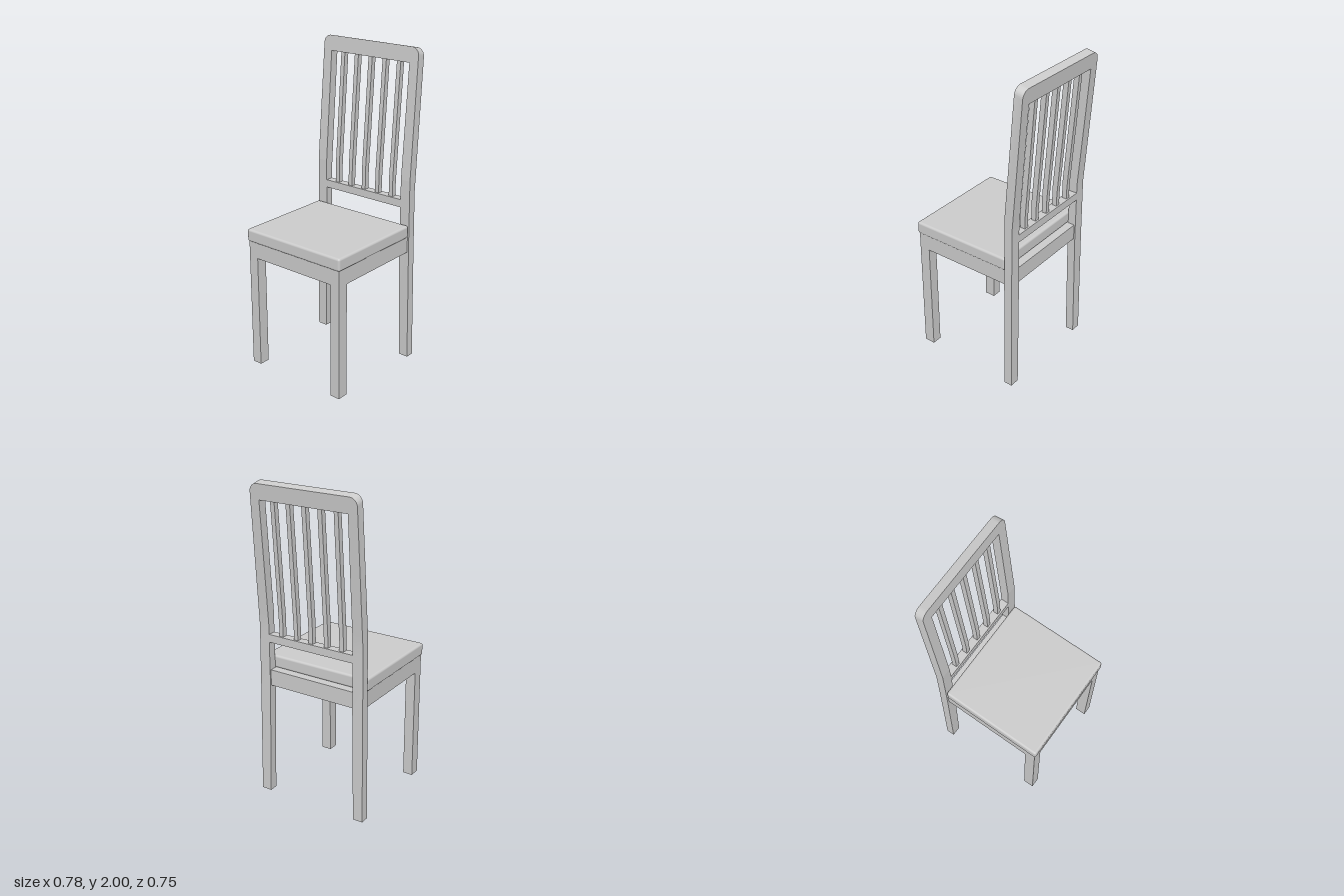
import * as THREE from 'three';
import { RoundedBoxGeometry } from 'three/addons/geometries/RoundedBoxGeometry.js';
import { toCreasedNormals } from 'three/addons/utils/BufferGeometryUtils.js';

const material = new THREE.MeshStandardMaterial({ color: 0xcccccc });

// Side profile of the back frame: [y, x] for its seat-facing and rear faces
const FRONT = [[0, 0.285], [0.75, 0.277], [1.2, 0.276], [2, 0.335]];
const REAR = [[0, 0.34], [0.75, 0.331], [1.13, 0.329], [2, 0.39]];
// Half widths of the back frame, outside and inside: [y, z]
const OUTER = [[0, 0.375], [1.05, 0.363], [2, 0.356]];
const INNER = [[0, 0.31], [0.75, 0.295], [2, 0.295]];

function along(line, y) {
  let i = 0;
  while (i < line.length - 2 && y > line[i + 1][0]) i++;
  const [[y0, v0], [y1, v1]] = [line[i], line[i + 1]];
  return v0 + (v1 - v0) * (y - y0) / (y1 - y0);
}

// Moves vertices whose x is a depth (0 seat side, 1 rear) onto the bent profile
function bend(geometry) {
  const p = geometry.attributes.position;
  for (let i = 0; i < p.count; i++) {
    const d = p.getX(i), y = p.getY(i);
    p.setX(i, THREE.MathUtils.lerp(along(FRONT, y), along(REAR, y), d));
    p.setY(i, y - 0.012 * d * Math.max(0, (y - 1.2) / 0.8));
  }
  return toCreasedNormals(geometry, 0.5);
}

// Upright bar through the given heights; zRange(y) returns [low z, high z]
function bar(heights, zRange, d0 = 0, d1 = 1) {
  const n = heights.length - 1;
  const g = new THREE.BoxGeometry(1, 1, 1, 1, n, 1);
  const p = g.attributes.position;
  for (let i = 0; i < p.count; i++) {
    const y = heights[Math.round((p.getY(i) + 0.5) * n)];
    const [a, b] = zRange(y);
    p.setXYZ(i, p.getX(i) < 0 ? d0 : d1, y, p.getZ(i) < 0 ? a : b);
  }
  return bend(g);
}

function box(x0, x1, y0, y1, z0, z1) {
  return new THREE.BoxGeometry(x1 - x0, y1 - y0, z1 - z0)
    .translate((x0 + x1) / 2, (y0 + y1) / 2, (z0 + z1) / 2);
}

export function createModel() {
  const chair = new THREE.Group();
  chair.name = 'chair';
  const add = (name, geometry) => {
    const mesh = new THREE.Mesh(geometry, material);
    mesh.name = name;
    chair.add(mesh);
  };

  // Seat cushion on a solid apron that runs back between the rear legs
  add('seatCushion', new RoundedBoxGeometry(0.67, 0.08, 0.726, 4, 0.014).translate(-0.06, 0.876, 0));
  add('seatApron', box(-0.385, 0.277, 0.735, 0.837, -0.355, 0.355));
  add('rearApron', box(0.27, 0.322, 0.735, 0.837, -0.297, 0.297));

  // Legs
  for (const [side, s] of [['left', 1], ['right', -1]]) {
    add(side + 'FrontLeg', box(-0.385, -0.315, 0, 0.735, s * 0.3225 - 0.0325, s * 0.3225 + 0.0325));
    add(side + 'BackLeg', bar([0, 0.75, 1.05, 1.13, 1.2], (y) => {
      const a = along(INNER, y), b = along(OUTER, y);
      return s > 0 ? [a, b] : [-b, -a];
    }));
  }

  // Leaning upper frame with rounded top corners
  const low = along(OUTER, 1.2), top = 0.356, inner = 0.295, r = 0.05;
  const frame = new THREE.Shape();
  frame.moveTo(-inner, 1.2);
  frame.lineTo(-inner, 1.905);
  frame.lineTo(inner, 1.905);
  frame.lineTo(inner, 1.2);
  frame.lineTo(low, 1.2);
  frame.lineTo(top, 2 - r);
  frame.absarc(top - r, 2 - r, r, 0, Math.PI / 2, false);
  frame.absarc(r - top, 2 - r, r, Math.PI / 2, Math.PI, false);
  frame.lineTo(-low, 1.2);
  const frameGeometry = new THREE.ExtrudeGeometry(frame, { depth: 1, bevelEnabled: false, curveSegments: 8 });
  add('backFrame', bend(frameGeometry.rotateY(Math.PI / 2)));

  // Lower back rail and the slats above it
  add('lowerBackRail', bar([1.02, 1.07], () => [-0.297, 0.297]));
  for (let i = -2; i <= 2; i++) {
    const z = i * 0.106;
    add('backSlat', bar([1.065, 1.13, 1.2, 1.91], () => [z - 0.014, z + 0.014], 0.2, 0.8));
  }
  return chair;
}
